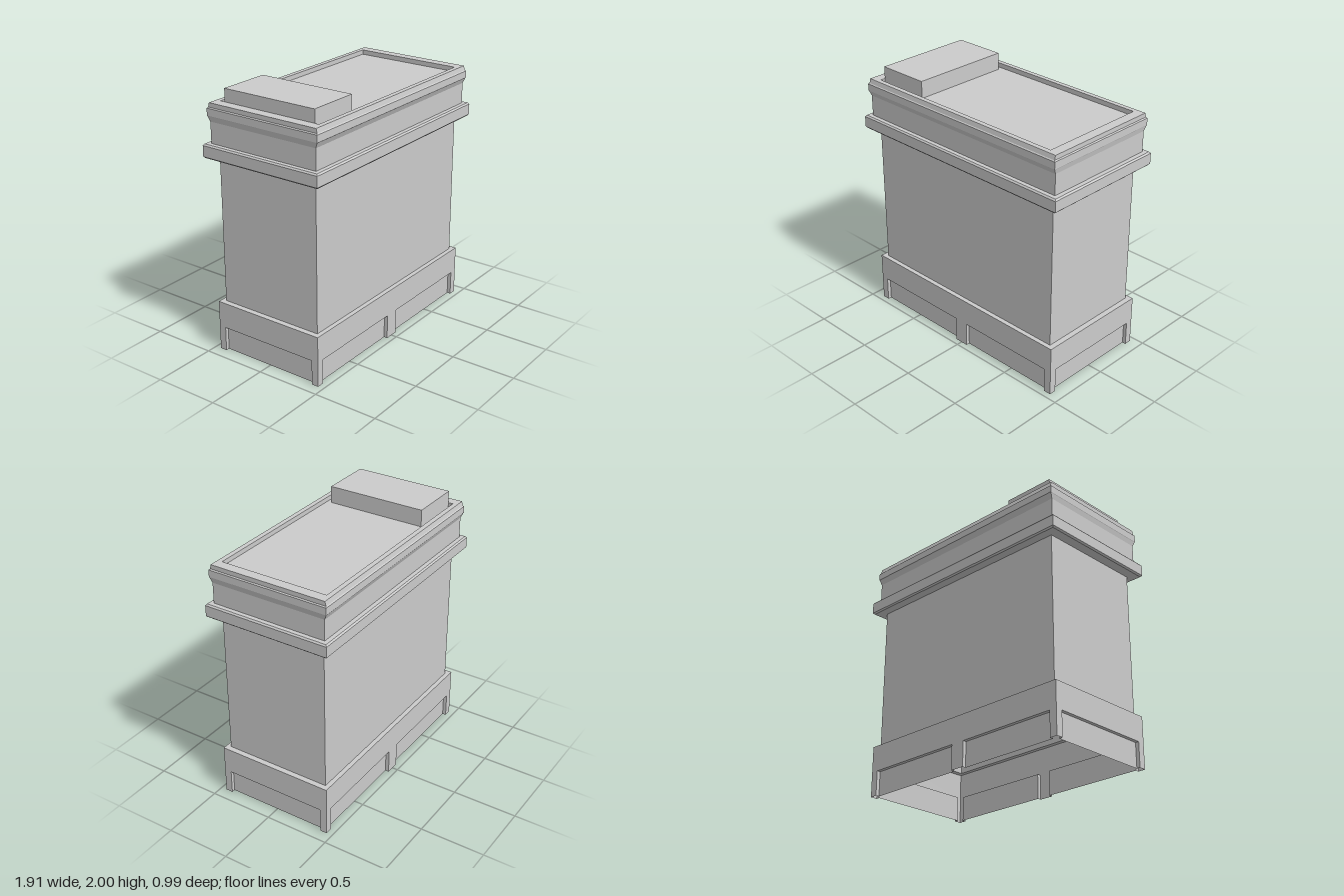
import * as THREE from 'three';

const material = new THREE.MeshStandardMaterial({ color: 0xcccccc, flatShading: true, side: THREE.DoubleSide });

function addMesh(parent, name, geometry) {
  const mesh = new THREE.Mesh(geometry, material);
  mesh.name = name;
  parent.add(mesh);
  return mesh;
}

// Builds a flat-shaded surface from four-cornered faces (counter-clockwise).
function quads(faces) {
  const points = faces.flatMap(([a, b, c, d]) => [a, b, c, a, c, d]);
  const geometry = new THREE.BufferGeometry();
  geometry.setAttribute('position', new THREE.Float32BufferAttribute(points.flat(), 3));
  geometry.computeVertexNormals();
  return geometry;
}

// Joins rectangular rings given as [half width, half depth, height]; can close the last one.
function rectLoft(rings, capEnd = false) {
  const corners = rings.map(([x, z, y]) => [[x, y, z], [x, y, -z], [-x, y, -z], [-x, y, z]]);
  const faces = [];
  for (let r = 0; r < corners.length - 1; r++) {
    for (let i = 0; i < 4; i++) {
      const j = (i + 1) % 4;
      faces.push([corners[r][i], corners[r][j], corners[r + 1][j], corners[r + 1][i]]);
    }
  }
  if (capEnd) faces.push(corners[corners.length - 1]);
  return quads(faces);
}

// One thin plinth wall facing +z, with recessed panels open at the floor.
function plinthWall(halfWidth, height, panels, panelTop, depth) {
  const faces = [];
  const rect = (x0, x1, y0, y1, z) =>
    faces.push([[x0, y0, z], [x1, y0, z], [x1, y1, z], [x0, y1, z]]);
  let edge = -halfWidth;
  for (const [x0, x1] of panels) {
    rect(edge, x0, 0, panelTop, 0);
    rect(x0, x1, 0, panelTop, -depth);
    // Sides and top of the recess
    faces.push([[x0, 0, 0], [x0, 0, -depth], [x0, panelTop, -depth], [x0, panelTop, 0]]);
    faces.push([[x1, 0, -depth], [x1, 0, 0], [x1, panelTop, 0], [x1, panelTop, -depth]]);
    faces.push([[x0, panelTop, -depth], [x1, panelTop, -depth], [x1, panelTop, 0], [x0, panelTop, 0]]);
    edge = x1;
  }
  rect(edge, halfWidth, 0, panelTop, 0);
  rect(-halfWidth, halfWidth, panelTop, height, 0);
  return quads(faces);
}

export function createModel() {
  const group = new THREE.Group();
  const baseX = 0.912, baseZ = 0.455, baseTop = 0.39;
  const bodyX = 0.87, bodyZ = 0.42;

  // Hollow plinth: panelled walls and a ledge
  const plinth = new THREE.Group();
  plinth.name = 'plinth';
  group.add(plinth);
  const longWall = plinthWall(baseX, baseTop, [[-0.855, -0.057], [0.055, 0.853]], 0.19, 0.028);
  const shortWall = plinthWall(baseZ, baseTop, [[-0.4, 0.4]], 0.19, 0.028);
  ['frontWall', 'leftWall', 'backWall', 'rightWall'].forEach((name, i) => {
    const wall = addMesh(plinth, name, i % 2 ? shortWall : longWall);
    const angle = (i * Math.PI) / 2;
    wall.rotation.y = angle;
    wall.position.set(Math.sin(angle) * baseX, 0, Math.cos(angle) * baseZ);
  });
  addMesh(plinth, 'plinthLedge', rectLoft([[baseX, baseZ, baseTop], [bodyX, bodyZ, baseTop]]));

  // Plain shaft, open below
  addMesh(group, 'shaft', rectLoft([[bodyX, bodyZ, baseTop], [bodyX, bodyZ, 1.52]], true));

  // Projecting band with softened edges
  addMesh(group, 'band', rectLoft([
    [bodyX, bodyZ, 1.507], [0.943, 0.487, 1.507], [0.955, 0.497, 1.518],
    [0.955, 0.497, 1.6], [0.945, 0.487, 1.612], [0.9, 0.445, 1.612],
  ]));

  // Frieze, flared cornice and sunken top
  addMesh(group, 'cornice', rectLoft([
    [0.912, 0.455, 1.61], [0.912, 0.455, 1.77], [0.92, 0.472, 1.808],
    [0.922, 0.475, 1.812], [0.922, 0.475, 1.865], [0.913, 0.468, 1.872],
    [0.913, 0.46, 1.905], [0.837, 0.423, 1.905], [0.837, 0.423, 1.87],
  ], true));

  // Raised block at one end of the top
  const block = addMesh(group, 'topBlock', new THREE.BoxGeometry(0.405, 0.13, 0.776));
  block.position.set(-0.63, 1.935, 0);

  return group;
}
